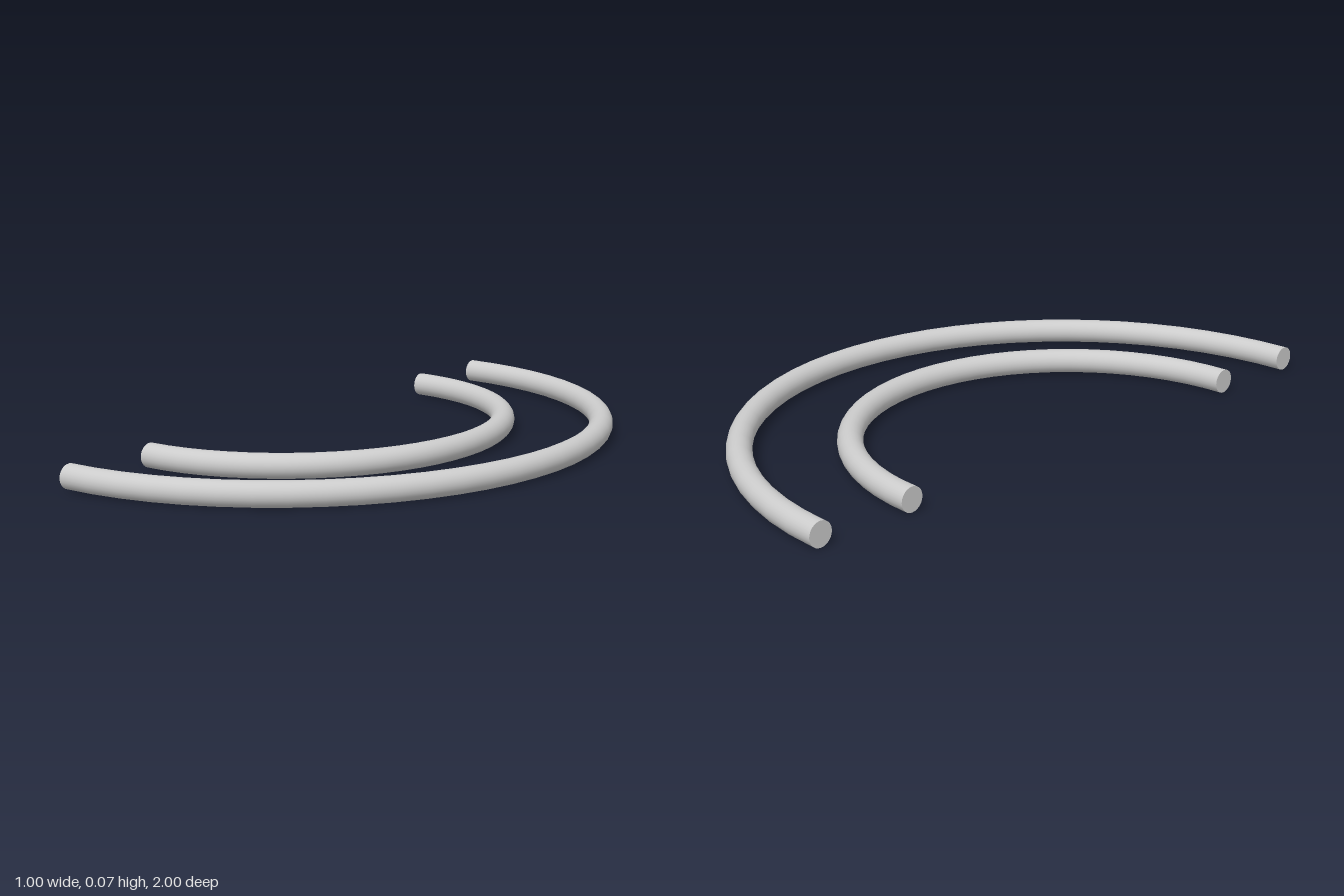
import * as THREE from 'three';

const TUBE = 0.0368;   // radius of the round bar
const START_X = -0.5;  // plane in which the half rings end

const material = new THREE.MeshStandardMaterial({ color: 0xcccccc });

// Half ring of round bar lying flat, bulging towards +x, with flat end caps
function halfRing(name, radius) {
  const ring = new THREE.Group();
  ring.name = name;
  ring.position.set(START_X, TUBE, 0);

  const arc = new THREE.TorusGeometry(radius, TUBE, 24, 32, Math.PI);
  arc.rotateZ(-Math.PI / 2).rotateX(Math.PI / 2);
  const bar = new THREE.Mesh(arc, material);
  bar.name = name + 'Bar';
  ring.add(bar);

  // End caps face -x
  for (const side of [1, -1]) {
    const cap = new THREE.Mesh(new THREE.CircleGeometry(TUBE, 24), material);
    cap.name = name + (side > 0 ? 'FrontCap' : 'BackCap');
    cap.rotation.y = -Math.PI / 2;
    cap.position.z = side * radius;
    ring.add(cap);
  }
  return ring;
}

export function createModel() {
  const model = new THREE.Group();
  model.name = 'concentricHalfRings';
  model.add(halfRing('outerRing', 1 - TUBE));
  model.add(halfRing('innerRing', 0.654));
  return model;
}
